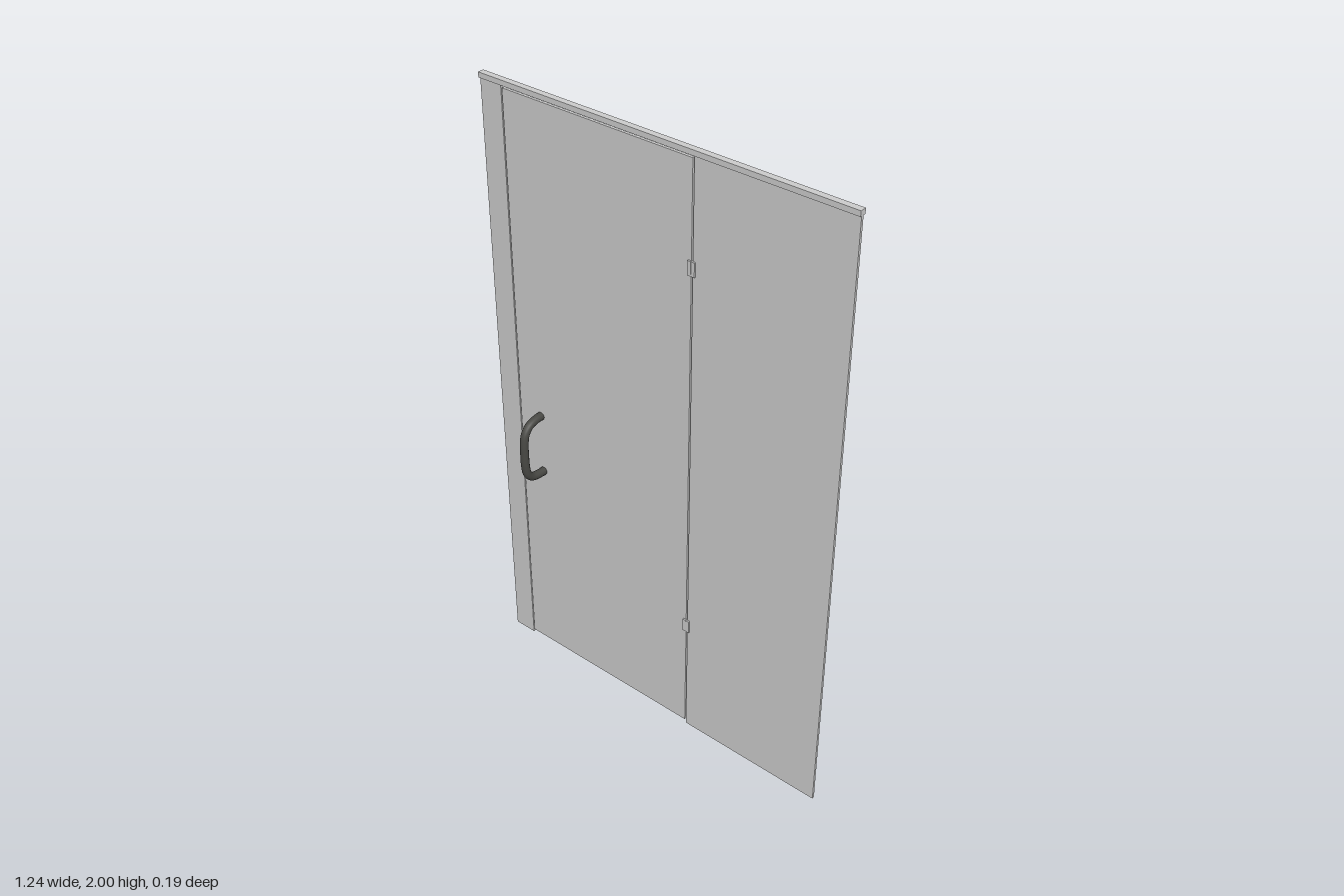
import * as THREE from 'three';

export function createModel() {
  const model = new THREE.Group();
  const grey = new THREE.MeshStandardMaterial({ color: 0xcccccc });
  const dark = new THREE.MeshStandardMaterial({ color: 0x484844 });

  // Box given by its extents in x and y, centred on z = 0
  function slab(name, x0, x1, y0, y1, depth) {
    const mesh = new THREE.Mesh(new THREE.BoxGeometry(x1 - x0, y1 - y0, depth), grey);
    mesh.position.set((x0 + x1) / 2, (y0 + y1) / 2, 0);
    mesh.name = name;
    model.add(mesh);
  }

  // Round bar swept along points, with closed ends
  function handle(name, points) {
    const group = new THREE.Group();
    group.name = name;
    const pts = points.map(p => new THREE.Vector3(...p));
    const curve = new THREE.CatmullRomCurve3(pts, false, 'centripetal');
    const bar = new THREE.Mesh(new THREE.TubeGeometry(curve, 40, 0.0135, 14), dark);
    bar.name = name + 'Bar';
    group.add(bar);
    for (const t of [0, 1]) {
      const cap = new THREE.Mesh(new THREE.CircleGeometry(0.0135, 14), dark);
      const out = curve.getTangent(t).multiplyScalar(t ? 1 : -1);
      cap.position.copy(curve.getPoint(t));
      cap.quaternion.setFromUnitVectors(new THREE.Vector3(0, 0, 1), out);
      cap.name = name + 'Cap';
      group.add(cap);
    }
    model.add(group);
  }

  // Glass: narrow fixed panel, door leaf with gaps all round, wide fixed panel
  const glass = 0.008;
  slab('narrowPanel', -0.622, -0.545, 0, 1.985, glass);
  slab('door', -0.541, 0.119, 0.012, 1.975, glass);
  slab('widePanel', 0.124, 0.62, 0, 1.985, glass);

  // Rail along the top
  slab('topRail', -0.623, 0.621, 1.984, 2, 0.02);

  // Two hinges, each a pair of leaves clamping the glass
  for (const y of [0.418, 1.662]) {
    slab('hingeDoorLeaf', 0.109, 0.1205, y - 0.022, y + 0.022, 0.018);
    slab('hingePanelLeaf', 0.1215, 0.133, y - 0.022, y + 0.022, 0.018);
  }

  // Upright pull on the front
  const px = -0.457;
  handle('pullHandle', [
    [px, 0.937, 0.004], [px, 0.936, 0.03], [px, 0.927, 0.058], [px, 0.905, 0.076],
    [px, 0.87, 0.083], [px, 0.83, 0.0835], [px, 0.795, 0.083], [px, 0.758, 0.076],
    [px, 0.738, 0.058], [px, 0.73, 0.03], [px, 0.729, 0.004],
  ]);

  // Bowed towel bar across the back, mirrored about its middle
  const mid = -0.207, y = 0.73;
  const half = [[0.25, 0.004], [0.246, 0.018], [0.231, 0.044], [0.185, 0.069], [0.12, 0.081], [0.06, 0.0835]];
  handle('towelBar', [
    ...half.map(([dx, z]) => [mid - dx, y, -z]),
    ...half.slice().reverse().map(([dx, z]) => [mid + dx, y, -z]),
  ]);

  return model;
}
